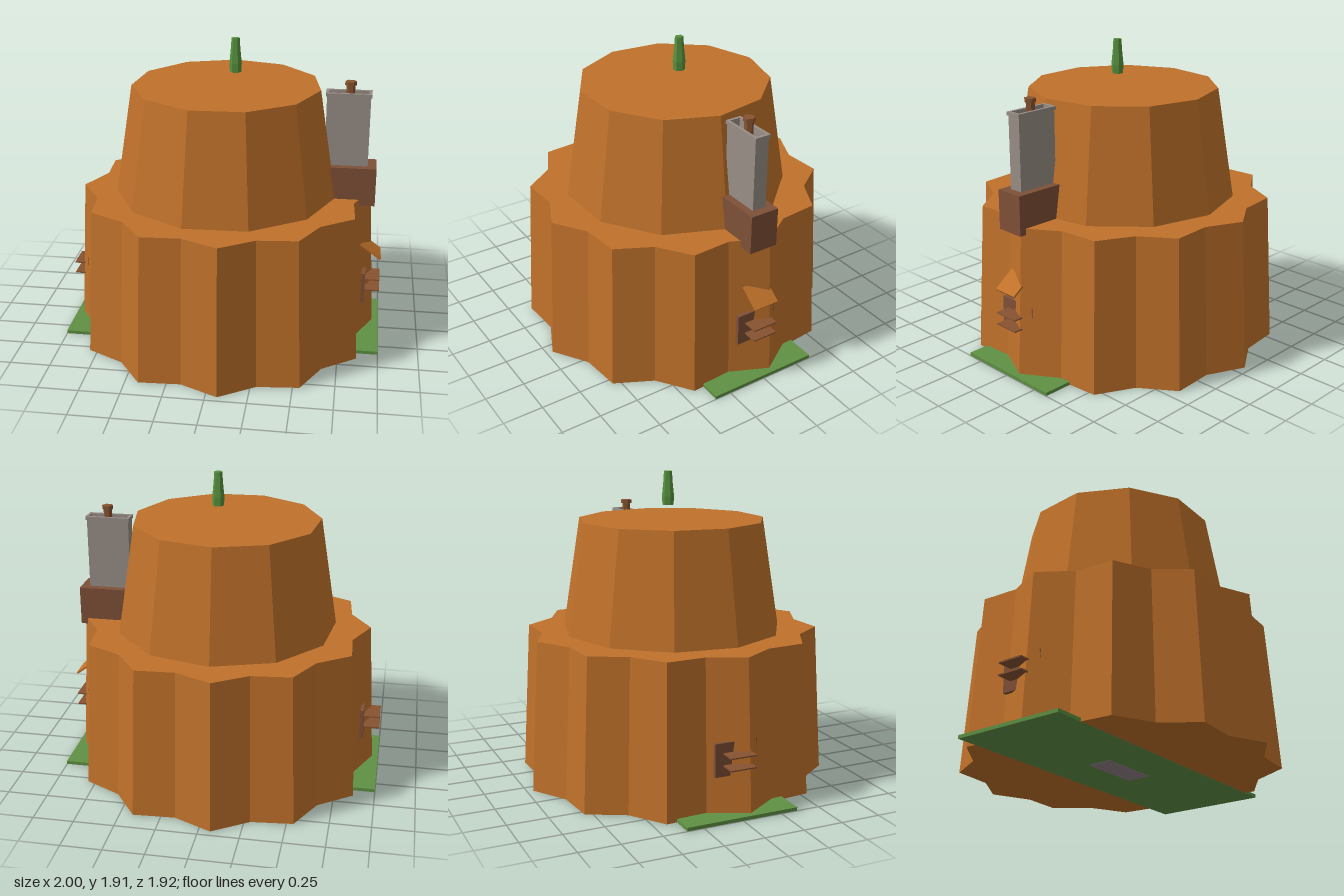
import * as THREE from 'three';

const mat = (name, color) => {
  const m = new THREE.MeshStandardMaterial({ color, flatShading: true });
  m.name = name;
  return m;
};

export function createModel() {
  const root = new THREE.Group();
  root.name = 'mesa';
  const clay = mat('orange clay', 0xc0712a);
  const grass = mat('grass green', 0x5f9143);
  const wood = mat('dark wood', 0x7f5038);
  const plank = mat('plank and pipe brown', 0x875331);
  const stone = mat('grey stone', 0x998e86);
  const slate = mat('foundation grey', 0x95828a);
  const cactusGreen = mat('cactus green', 0x58923f);

  const add = (name, geo, material, parent = root) => {
    const m = new THREE.Mesh(geo, material);
    m.name = name;
    parent.add(m);
    return m;
  };
  // box given by its minimum and maximum on each axis
  const box = (name, [x0, x1], [y0, y1], [z0, z1], material, parent) => {
    const g = new THREE.BoxGeometry(x1 - x0, y1 - y0, z1 - z0);
    g.translate((x0 + x1) / 2, (y0 + y1) / 2, (z0 + z1) / 2);
    return add(name, g, material, parent);
  };
  // faceted rock tier; every second corner is pulled in by the valley factor
  const tier = (name, rTop, rBase, y0, y1, sides, startDeg, valley) => {
    const start = THREE.MathUtils.degToRad(startDeg);
    const g = new THREE.CylinderGeometry(rTop, rBase, y1 - y0, sides, 1, false, start);
    const p = g.attributes.position;
    for (let i = 0; i < p.count; i++) {
      const x = p.getX(i), z = p.getZ(i);
      const k = Math.round((Math.atan2(x, z) - start) / (Math.PI * 2 / sides));
      const s = k % 2 !== 0 ? valley : 1;
      p.setXYZ(i, x * s, p.getY(i), z * s);
    }
    const flat = g.toNonIndexed();
    flat.computeVertexNormals();
    flat.translate(0, (y0 + y1) / 2, 0);
    add(name, flat, clay);
  };

  // rock
  tier('lowerCliff', 0.911, 0.965, 0.002, 0.935, 24, 4.2, 0.903);
  tier('upperCliff', 0.584, 0.695, 0.93, 1.62, 11, 18, 1);

  // ground strip running under the rock, and foundation
  box('grassStrip', [-1, 1], [0.001, 0.022], [-0.355, 0.355], grass);
  box('foundation', [-0.2, 0.2], [0, 0.015], [-0.08, 0.08], slate);

  // doorway panel and ledges on both sides
  for (const s of [1, -1]) {
    const side = new THREE.Group();
    side.name = s > 0 ? 'leftDoorway' : 'rightDoorway';
    side.rotation.y = s > 0 ? 0 : Math.PI;
    root.add(side);
    box('doorPanel', [0.877, 0.9], [0.245, 0.447], [-0.132, 0.132], wood, side);
    for (const y of [0.31, 0.383])
      box('ledge', [0.85, s > 0 ? 0.993 : 1], [y - 0.004, y + 0.004], [-0.082, 0.082], plank, side);
  }

  // sloping awning over the left doorway
  const awning = add('awning', new THREE.BoxGeometry(0.155, 0.012, 0.164), clay);
  awning.position.set(0.927, 0.578, 0);
  awning.rotation.z = -0.64;

  // chimney: wooden base, hollow stone shaft with rim, pipe with cap
  const chimney = new THREE.Group();
  chimney.name = 'chimney';
  root.add(chimney);
  box('chimneyBase', [0.625, 0.935], [0.897, 1.14], [-0.092, 0.092], wood, chimney);
  const hollow = (name, x0, x1, z, y0, y1, t) => {
    const s = new THREE.Shape([[x0, -z], [x1, -z], [x1, z], [x0, z]].map(c => new THREE.Vector2(...c)));
    s.holes.push(new THREE.Path([[x0 + t, t - z], [x0 + t, z - t], [x1 - t, z - t], [x1 - t, t - z]]
      .map(c => new THREE.Vector2(...c))));
    const g = new THREE.ExtrudeGeometry(s, { depth: y1 - y0, bevelEnabled: false });
    g.rotateX(-Math.PI / 2).translate(0, y0, 0);
    add(name, g, stone, chimney);
  };
  hollow('chimneyShaft', 0.615, 0.88, 0.045, 1.14, 1.585, 0.012);
  hollow('chimneyRim', 0.608, 0.887, 0.051, 1.578, 1.6, 0.018);
  box('chimneyFloor', [0.62, 0.875], [1.5, 1.51], [-0.04, 0.04], stone, chimney);
  const hex = (name, r, y0, y1) => {
    const g = new THREE.CylinderGeometry(r, r, y1 - y0, 6, 1, false, Math.PI / 6);
    add(name, g, plank, chimney).position.set(0.755, (y0 + y1) / 2, 0);
  };
  hex('pipe', 0.027, 1.5, 1.65);
  hex('pipeCap', 0.035, 1.642, 1.666);

  // six-sided cactus above the summit
  const profile = [[0, 1.7], [0.035, 1.7], [0.038, 1.755], [0.029, 1.845], [0.025, 1.91], [0, 1.91]]
    .map(c => new THREE.Vector2(...c));
  const cactus = add('cactus', new THREE.LatheGeometry(profile, 6, Math.PI / 6), cactusGreen);
  cactus.position.x = 0.053;

  return root;
}
